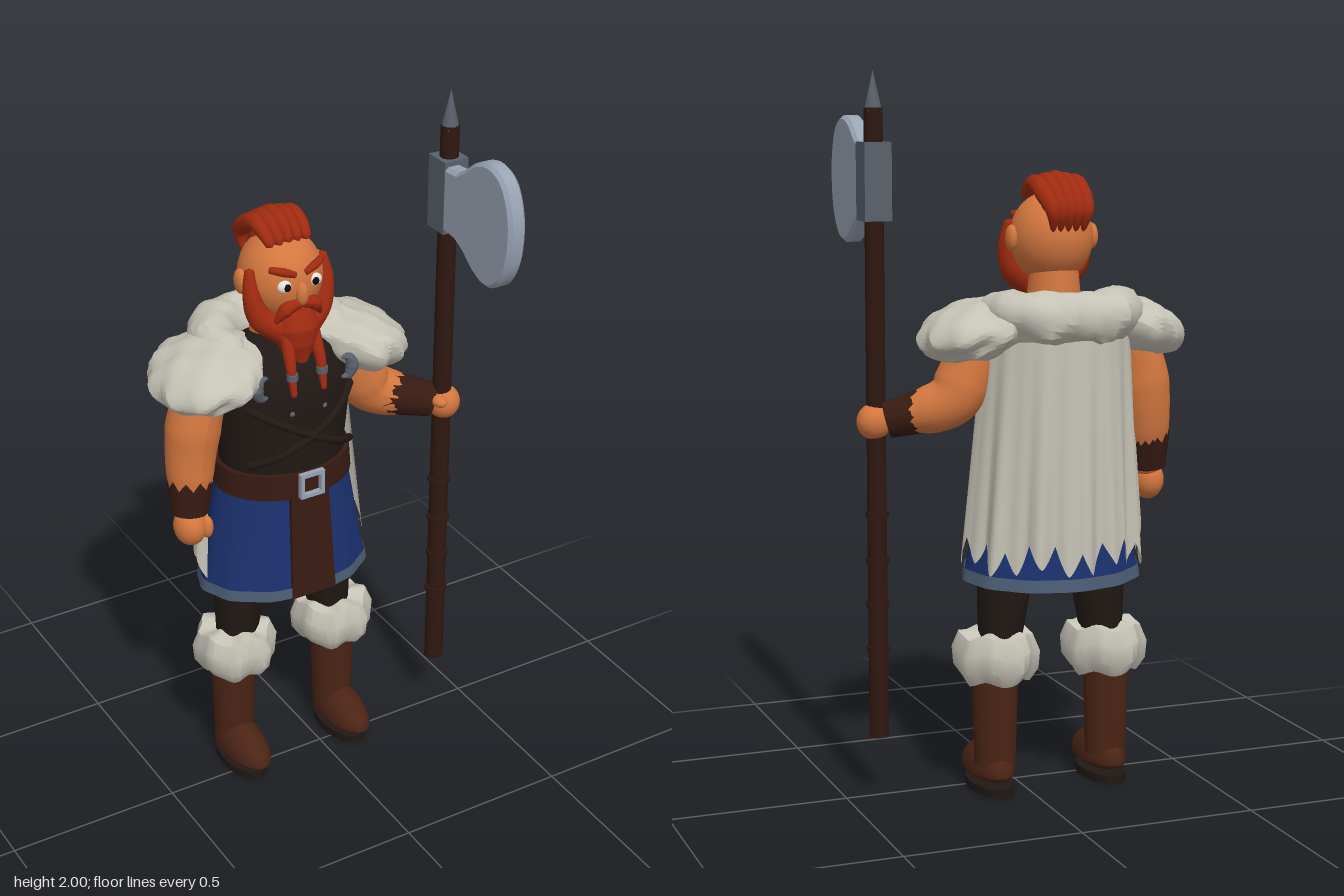
import * as THREE from 'three';
import { toCreasedNormals } from 'three/addons/utils/BufferGeometryUtils.js';
import { ParametricGeometry } from 'three/addons/geometries/ParametricGeometry.js';

const V = (x, y, z) => new THREE.Vector3(x, y, z);
const mat = (color, side = THREE.FrontSide) => new THREE.MeshStandardMaterial({ color, side });
const skin = mat(0xd4773f), red = mat(0x9f2a10), blue = mat(0x1b3270, THREE.DoubleSide);
const fur = mat(0xc6c3b6), capeFur = mat(0xc6c3b6, THREE.DoubleSide);
const boot = mat(0x4b2415), leather = mat(0x371b12, THREE.DoubleSide), dark = mat(0x201814);
const wood = mat(0x301812), steel = mat(0x98a3b3), iron = mat(0x59616b), trim = mat(0x4c5d74, THREE.DoubleSide);
const white = mat(0xe6e2dc), black = mat(0x0c0c0c);

function add(parent, name, geo, material, x = 0, y = 0, z = 0) {
  const m = new THREE.Mesh(geo, material);
  m.name = name;
  m.position.set(x, y, z);
  parent.add(m);
  return m;
}

const ball = (rx, ry, rz) => new THREE.SphereGeometry(1, 24, 16).scale(rx, ry, rz);

// Move every vertex by a rule
function warp(geo, rule) {
  const p = geo.attributes.position, v = V(0, 0, 0);
  for (let i = 0; i < p.count; i++) {
    v.fromBufferAttribute(p, i);
    rule(v, i);
    p.setXYZ(i, v.x, v.y, v.z);
  }
  geo.computeVertexNormals();
  return geo;
}

const tuft = v => Math.sin(v.x * 41 + v.z * 17) * Math.sin(v.z * 37 - v.y * 23 + 1) + 0.6 * Math.sin(v.x * 67 - v.z * 59 + v.y * 45);

// Closed tube through the points, with its own radius at each point
function taper(points, radii, sides = 14, rough = 0) {
  const curve = new THREE.CatmullRomCurve3(points.map(p => V(...p)));
  const n = 32, c = V(0, 0, 0);
  const g = new THREE.TubeGeometry(curve, n, 1, sides);
  return warp(g, (v, i) => {
    const u = Math.floor(i / (sides + 1)) / n, t = u * (radii.length - 1);
    const k = Math.min(Math.floor(t), radii.length - 2);
    const r = u === 0 || u === 1 ? 0 : THREE.MathUtils.lerp(radii[k], radii[k + 1], t - k);
    curve.getPointAt(u, c);
    v.sub(c).multiplyScalar(r);
    const bump = tuft(v.clone().add(c));
    v.multiplyScalar(1 + rough * bump).add(c);
  });
}

// Wrist guard with a zigzag upper edge, running from a to b
function bracer(parent, a, b, r0, r1) {
  const from = V(...a), to = V(...b), d = from.clone().sub(to);
  const g = warp(new THREE.CylinderGeometry(r0, r1, d.length(), 20, 1, true), (v, i) => {
    if (v.y > 0 && i % 2) v.y -= 0.025;
  });
  const m = add(parent, 'bracer', g, leather);
  m.position.copy(from).add(to).multiplyScalar(0.5);
  m.quaternion.setFromUnitVectors(V(0, 1, 0), d.normalize());
}

function buildLeg(f, s) {
  add(f, 'leg', taper([[s * 0.13, 0.75, -0.085], [s * 0.14, 0.6, -0.085], [s * 0.16, 0.35, -0.085]], [0.08, 0.073, 0.052]), dark);
  add(f, 'bootShaft', new THREE.CylinderGeometry(0.066, 0.058, 0.28, 20), boot, s * 0.168, 0.22, -0.085);
  const foot = warp(ball(0.063, 0.08, 0.133), v => {
    if (v.z > 0) v.y *= 1 - v.z * 1.6;
    if (v.y < 0) v.y *= 0.4;
  });
  add(f, 'foot', foot, boot, s * 0.17, 0.058, -0.033);
  add(f, 'sole', new THREE.CylinderGeometry(1, 1, 0.024, 24).scale(0.059, 1, 0.115), dark, s * 0.17, 0.012, -0.045);
  const cuff = new THREE.LatheGeometry([[0.05, 0.33], [0.09, 0.325], [0.113, 0.36], [0.117, 0.41], [0.1, 0.455], [0.05, 0.46]].map(p => new THREE.Vector2(...p)), 36);
  warp(cuff, v => {
    const a = Math.atan2(v.z, v.x), k = 1 + 0.055 * Math.cos(a * 8 + v.y * 9);
    v.x *= k; v.z *= k;
    v.y += 0.008 * Math.sin(a * 5);
  });
  add(f, 'furCuff', toCreasedNormals(cuff, 0.7), fur, s * 0.163, 0, -0.08);
}

function buildClothes(f) {
  // Flared skirt, open at the front, and its hem
  const skirt = (v0, v1, grow) => new ParametricGeometry((u, w, t) => {
    const a = 0.27 + u * (Math.PI * 2 - 0.54), v = v0 + (v1 - v0) * w;
    const pleat = 1 + 0.012 * v * Math.cos(a * 12);
    t.set((0.195 + 0.055 * v + grow) * Math.sin(a) * pleat, 0.95 - 0.335 * v + 0.012 * v * Math.cos(a),
      -0.085 + (0.155 + 0.032 * v + grow) * Math.cos(a) * pleat);
  }, 72, 6);
  add(f, 'skirt', skirt(0, 1, 0), blue);
  add(f, 'skirtHem', skirt(0.91, 1.01, 0.006), trim);
  const panel = warp(new THREE.BoxGeometry(0.14, 0.33, 0.016), v => { if (v.y > 0) v.x *= 0.84; });
  add(f, 'frontPanel', panel, leather, 0, 0.785, 0.082).rotation.x = -0.07;
  // Torso, belt and buckle
  const vest = [[0.185, 0.95], [0.185, 1.05], [0.198, 1.18], [0.195, 1.27], [0.15, 1.34], [0.06, 1.39], [0, 1.39]];
  add(f, 'vest', new THREE.LatheGeometry(vest.map(p => new THREE.Vector2(...p)), 40).scale(1, 1, 0.8), dark, 0, 0, -0.08);
  add(f, 'belt', new THREE.CylinderGeometry(0.198, 0.203, 0.075, 40).scale(1, 1, 0.8), leather, 0, 0.972, -0.08);
  for (const s of [-1, 1]) {
    add(f, 'buckleSide', new THREE.BoxGeometry(0.012, 0.075, 0.015), steel, s * 0.032, 0.975, 0.088);
    add(f, 'buckleBar', new THREE.BoxGeometry(0.075, 0.012, 0.015), steel, 0, 0.975 + s * 0.032, 0.088);
    // Crossed chest straps stand slightly off the vest
    const strap = [-0.17, -0.09, 0, 0.09, 0.17].map(x => [s * x, 1.13 - x * 0.55, -0.068 + 0.82 * Math.sqrt(0.196 ** 2 - x * x)]);
    add(f, 'chestStrap', taper(strap, [0.011, 0.011]), dark);
    for (let i = 0; i < 3; i++) add(f, 'stud', ball(0.008, 0.008, 0.006), iron, s * 0.05, 1.2 + i * 0.04, 0.07 - i * 0.01);
    // Crescent clasp with pointed ends
    const arc = [-1.9, -1, 0, 1, 1.9].map(a => [s * (0.122 + 0.026 * Math.cos(a)), 1.29 + 0.032 * Math.sin(a), 0.052]);
    add(f, 'clasp', taper(arc, [0.003, 0.014, 0.019, 0.014, 0.003]), iron);
  }
}

function buildCape(f) {
  // Folded cape with a ragged hem
  const cape = new ParametricGeometry((u, v, t) => {
    const a = u * Math.PI, zig = Math.abs(((u * 11) % 1) * 2 - 1);
    const fold = 0.01 * v * (Math.sin(a * 13) + 0.6 * Math.sin(a * 23 + 1));
    const hem = 0.655 + 0.07 * (1 - zig) ** 1.4 + 0.015 * Math.sin(a * 7);
    t.set((0.205 + 0.05 * v + fold) * Math.cos(a), THREE.MathUtils.lerp(1.36, hem, v),
      -0.07 - 0.04 * (1 - v) - (0.19 + 0.045 * v + fold) * Math.sin(a));
  }, 132, 12);
  add(f, 'cape', cape, capeFur);
  // Fur collar around the neck
  const half = [[0.135, 1.3, 0.01], [0.16, 1.34, -0.06], [0.165, 1.35, -0.16], [0.11, 1.348, -0.245]];
  const path = [...half, [0, 1.345, -0.272], ...half.map(([x, y, z]) => [-x, y, z]).reverse()];
  const collar = taper(path, [0.025, 0.055, 0.068, 0.07, 0.068, 0.07, 0.068, 0.055, 0.025], 20, 0.09);
  add(f, 'furCollar', toCreasedNormals(collar, 0.6), fur);
  // Shoulder furs, sloping outward with a flat underside
  for (const s of [-1, 1]) {
    const pad = warp(new THREE.IcosahedronGeometry(1, 7), v => {
      v.set(v.x * 0.15, v.y * 0.08, v.z * 0.18);
      v.multiplyScalar(1 + 0.06 * tuft(v));
      v.y = Math.max(v.y - v.x * 0.2, -0.08 + 0.008 * Math.sin(v.x * 60));
    });
    const m = add(f, 'shoulderFur', toCreasedNormals(pad, 0.45), fur, s * 0.228, 1.305, -0.09);
    if (s < 0) m.rotation.y = Math.PI;
  }
}

function buildArms(f) {
  add(f, 'rightArm', taper([[-0.23, 1.27, -0.09], [-0.262, 1.18, -0.09], [-0.28, 1.07, -0.09], [-0.3, 0.87, -0.065]], [0.07, 0.078, 0.066, 0.036], 20), skin);
  bracer(f, [-0.29, 1.0, -0.082], [-0.3, 0.895, -0.068], 0.064, 0.052);
  add(f, 'rightHand', ball(0.045, 0.056, 0.052), skin, -0.305, 0.855, -0.06);
  add(f, 'rightThumb', ball(0.018, 0.034, 0.02), skin, -0.27, 0.86, -0.025);
  add(f, 'leftArm', taper([[0.23, 1.27, -0.09], [0.255, 1.18, -0.09], [0.295, 1.115, -0.085], [0.46, 1.06, -0.02]], [0.07, 0.078, 0.066, 0.034], 20), skin);
  bracer(f, [0.318, 1.1, -0.073], [0.455, 1.06, -0.02], 0.065, 0.05);
  add(f, 'leftHand', ball(0.048, 0.05, 0.048), skin, 0.486, 1.055, 0);
  add(f, 'leftThumb', ball(0.022, 0.018, 0.034), skin, 0.455, 1.075, 0.02);
}

function buildHead(f) {
  add(f, 'neck', new THREE.CylinderGeometry(0.065, 0.08, 0.15, 20), skin, 0, 1.41, -0.1);
  add(f, 'head', ball(0.115, 0.125, 0.12), skin, 0, 1.55, -0.08);
  add(f, 'nose', ball(0.018, 0.034, 0.018), skin, 0, 1.535, 0.038);
  // Beard, moustache, braids and facial features
  add(f, 'chinBeard', taper([[0, 1.48, -0.01], [0, 1.43, 0], [0, 1.38, 0.01], [0, 1.32, 0.03]], [0.05, 0.066, 0.052, 0.015], 20), red);
  for (const s of [-1, 1]) {
    add(f, 'ear', ball(0.016, 0.036, 0.026), skin, s * 0.118, 1.55, -0.085);
    add(f, 'sideBeard', taper([[s * 0.11, 1.6, -0.05], [s * 0.112, 1.53, -0.035], [s * 0.09, 1.46, -0.025], [s * 0.03, 1.42, -0.005]], [0.012, 0.025, 0.036, 0.045]), red);
    add(f, 'moustache', taper([[0, 1.51, 0.034], [s * 0.04, 1.498, 0.03], [s * 0.07, 1.455, 0.015]], [0.014, 0.02, 0.006]), red);
    add(f, 'braid', taper([[s * 0.04, 1.42, 0.02], [s * 0.046, 1.34, 0.055], [s * 0.046, 1.25, 0.075]], [0.02, 0.015, 0.008]), red);
    add(f, 'braidBead', new THREE.CylinderGeometry(0.016, 0.016, 0.018, 14), iron, s * 0.046, 1.31, 0.064);
    add(f, 'eye', ball(0.021, 0.018, 0.013), white, s * 0.046, 1.562, 0.026);
    add(f, 'pupil', ball(0.01, 0.011, 0.006), black, s * 0.043, 1.562, 0.037);
    const brow = add(f, 'brow', taper([[-0.038, 0, -0.008], [0, 0.004, 0], [0.038, 0, -0.008]], [0.009, 0.012, 0.009]), red, s * 0.05, 1.6, 0.024);
    brow.rotation.set(0, s * 0.35, s * 0.28);
  }
  // Swept-back crest: a solid core under separate locks
  add(f, 'crestCore', ball(0.056, 0.075, 0.088), red, 0, 1.632, -0.125);
  for (let i = -2; i <= 2; i++) {
    const x = i * 0.027, drop = Math.abs(i) * 0.005;
    add(f, 'crestLock', taper([[x, 1.655, -0.025], [x * 1.05, 1.69 - drop, -0.055], [x * 1.05, 1.708 - drop, -0.11],
      [x, 1.675 - drop, -0.175], [x * 0.9, 1.63, -0.212], [x * 0.8, 1.57, -0.2]], [0.012, 0.021, 0.025, 0.025, 0.02, 0.005]), red);
  }
}

function buildAxe() {
  const axe = new THREE.Group();
  axe.name = 'longAxe';
  axe.position.set(0.403, 0, 0);
  add(axe, 'shaft', new THREE.CylinderGeometry(0.026, 0.028, 1.73, 12), wood, 0, 1.035, 0);
  for (const y of [0.42, 0.545, 0.67, 0.8]) add(axe, 'shaftRing', new THREE.CylinderGeometry(0.033, 0.033, 0.014, 12), wood, 0, y, 0);
  add(axe, 'spike', new THREE.ConeGeometry(0.026, 0.11, 8), iron, 0, 1.945, 0);
  add(axe, 'axeSocket', new THREE.BoxGeometry(0.076, 0.21, 0.078), iron, 0, 1.705, -0.002);
  const edge = [[0.09, 1.79], [0.13, 1.815], [0.18, 1.852], [0.24, 1.866], [0.295, 1.84], [0.327, 1.775], [0.335, 1.7],
    [0.322, 1.62], [0.285, 1.56], [0.235, 1.537], [0.18, 1.555], [0.13, 1.592], [0.09, 1.612]].map(p => new THREE.Vector2(...p));
  const shape = new THREE.Shape();
  shape.moveTo(0.02, 1.785);
  shape.lineTo(0.09, 1.79);
  shape.splineThru(edge.slice(1));
  shape.lineTo(0.02, 1.62);
  const blade = new THREE.ExtrudeGeometry(shape, { depth: 0.034, bevelSize: 0.01, bevelThickness: 0.01, bevelSegments: 1, curveSegments: 40 });
  add(axe, 'axeBlade', blade.translate(0, 0, -0.017).rotateY(-Math.PI / 2), steel, -0.01, 0, 0);
  return axe;
}

export function createModel() {
  const model = new THREE.Group();
  model.name = 'axeWarrior';
  const figure = new THREE.Group();
  figure.name = 'figure';
  figure.position.x = -0.077;
  for (const s of [-1, 1]) buildLeg(figure, s);
  buildClothes(figure);
  buildCape(figure);
  buildArms(figure);
  buildHead(figure);
  model.add(figure, buildAxe());
  return model;
}
